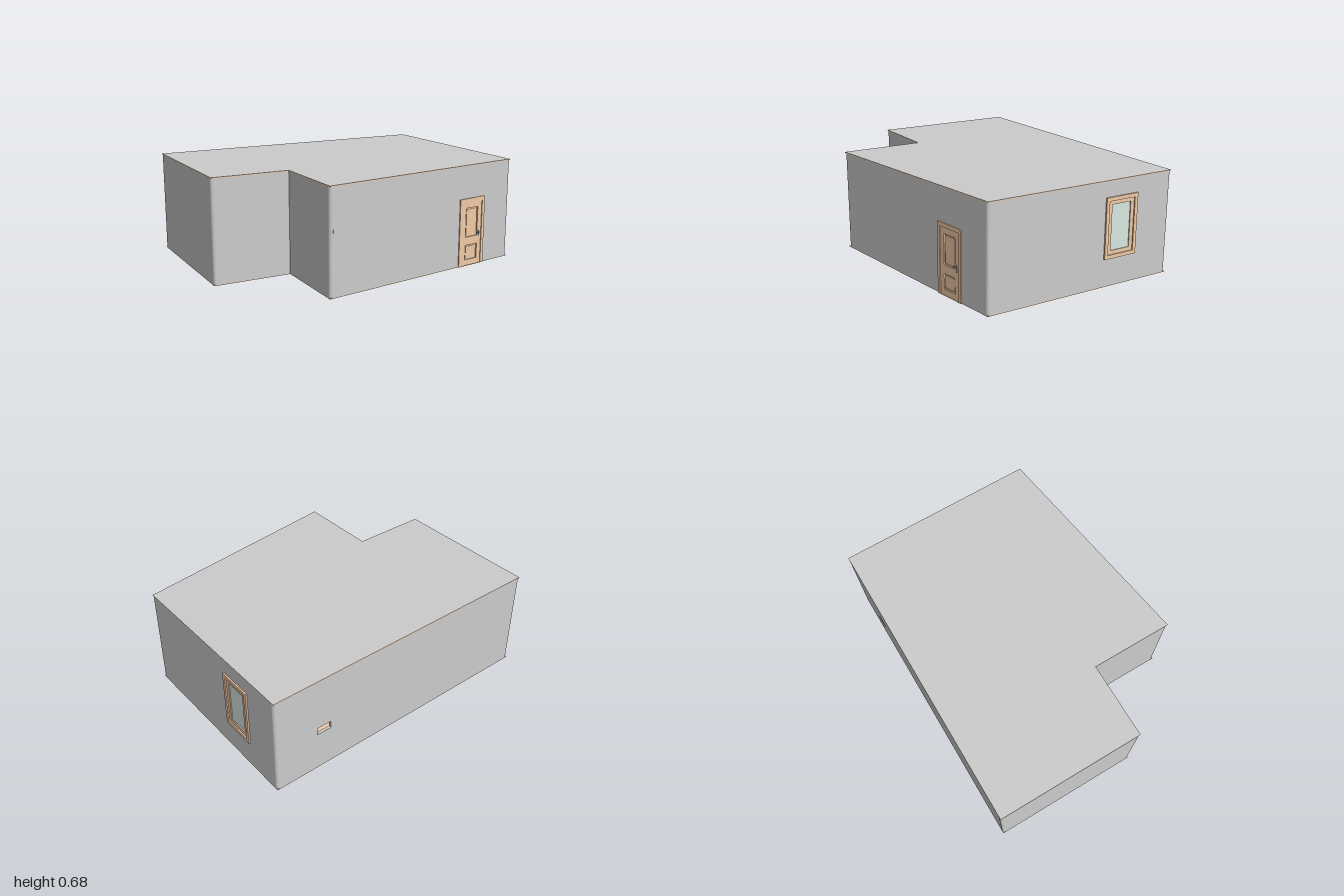
import * as THREE from 'three';

const mat = (color, side = THREE.FrontSide) => new THREE.MeshStandardMaterial({ color, side });
const grey = mat(0xcccccc), tan = mat(0xf0caa6), glass = mat(0xd8e8e0, THREE.DoubleSide), metal = mat(0x8a94a0);

const T = 0.02; // wall thickness and corner radius
const H = 0.675; // overall height
const S = 0.006; // slab thickness

// Room outline (x, z), ordered so that each wall's local +z points indoors
const outline = [[-1, -0.775], [0.99, -0.775], [0.99, 0.55], [-0.49, 0.77], [-0.49, 0.22], [-1, 0.22]]
  .map(([x, z]) => new THREE.Vector2(x, z));
const names = ['backWall', 'leftWall', 'frontWall', 'recessSideWall', 'recessFrontWall', 'rightWall'];

// Openings per wall: [u0, v0, u1, v1] along the wall and up
const openings = {
  backWall: [1.59, 0.27, 1.69, 0.32],
  leftWall: [0.285, 0.205, 0.485, 0.55],
  frontWall: [0.258, 0.004, 0.434, 0.43],
};

function rectPoints(x0, y0, x1, y1) {
  return [[x0, y0], [x1, y0], [x1, y1], [x0, y1]].map(([x, y]) => new THREE.Vector2(x, y));
}

// Flat rectangular panel with rectangular holes, extruded along +z
function panel(name, rect, holes, depth, material) {
  const shape = new THREE.Shape(rectPoints(...rect));
  for (const h of holes) shape.holes.push(new THREE.Path(rectPoints(...h)));
  const mesh = new THREE.Mesh(new THREE.ExtrudeGeometry(shape, { depth, bevelEnabled: false }), material);
  mesh.name = name;
  return mesh;
}

function add(parent, name, geometry, material, x = 0, y = 0, z = 0) {
  const mesh = new THREE.Mesh(geometry, material);
  mesh.name = name;
  mesh.position.set(x, y, z);
  parent.add(mesh);
  return mesh;
}

// Horizontal slab with the room outline
function slab(name, y, capMaterial) {
  const shape = new THREE.Shape(outline.map((p) => new THREE.Vector2(p.x, -p.y)));
  const geometry = new THREE.ExtrudeGeometry(shape, { depth: S, bevelEnabled: false }).rotateX(-Math.PI / 2);
  const mesh = new THREE.Mesh(geometry, [capMaterial, tan]);
  mesh.name = name;
  mesh.position.y = y;
  return mesh;
}

function buildWalls() {
  const walls = new THREE.Group();
  walls.name = 'walls';
  const n = outline.length;
  const dir = outline.map((p, i) => outline[(i + 1) % n].clone().sub(p).normalize());
  // Length each wall gives up to the rounded corner at its start
  const trim = dir.map((d, i) => {
    const before = dir[(i + n - 1) % n];
    return T * Math.tan(Math.atan2(before.cross(d), before.dot(d)) / 2);
  });
  const bottom = S * 0.5, top = H - S;
  outline.forEach((p, i) => {
    const d = dir[i];
    const length = p.distanceTo(outline[(i + 1) % n]);
    const hole = openings[names[i]];
    const wall = panel(names[i], [trim[i], bottom, length - trim[(i + 1) % n], top], hole ? [hole] : [], T, grey);
    wall.position.set(p.x, 0, p.y);
    wall.rotation.y = -Math.atan2(d.y, d.x);
    walls.add(wall);
    // Rounded post at outward corners
    if (trim[i] > 0) {
      add(walls, 'roundedCorner', new THREE.CylinderGeometry(T, T, top - bottom, 32), grey,
        p.x + d.x * trim[i] - d.y * T, (top + bottom) / 2, p.y + d.y * trim[i] + d.x * T);
    }
  });
  return walls;
}

function buildDoor() {
  const door = new THREE.Group();
  door.name = 'door';
  // Casing around three sides
  const casing = panel('doorCasing', [-0.111, 0, 0.111, 0.455], [[-0.088, 0.001, 0.088, 0.43]], 0.007, tan);
  door.add(casing);
  // Leaf with two recessed panels
  const leaf = panel('doorLeaf', [-0.09, 0.002, 0.088, 0.432],
    [[-0.053, 0.195, 0.053, 0.39], [-0.053, 0.04, 0.053, 0.14]], 0.012, tan);
  leaf.position.z = -0.01;
  door.add(leaf);
  add(door, 'doorBacking', new THREE.BoxGeometry(0.178, 0.43, 0.009), tan, 0, 0.217, -0.0115);
  for (const [y, h] of [[0.2925, 0.175], [0.09, 0.08]]) {
    add(door, 'raisedPanel', new THREE.BoxGeometry(0.09, h, 0.006), tan, 0, y, -0.005);
  }
  // Lever handle
  add(door, 'handlePlate', new THREE.BoxGeometry(0.008, 0.045, 0.003), metal, 0.068, 0.205, 0.0035);
  add(door, 'handleStem', new THREE.CylinderGeometry(0.003, 0.003, 0.01, 12).rotateX(Math.PI / 2), metal, 0.068, 0.215, 0.006);
  add(door, 'handleLever', new THREE.BoxGeometry(0.03, 0.006, 0.004), metal, 0.056, 0.215, 0.01);
  // Stand the door on the slanted front wall
  const x = 0.6475, slope = 0.22 / 1.48;
  door.position.set(x, 0, 0.55 + slope * (0.99 - x));
  door.rotation.y = Math.atan(slope);
  return door;
}

function buildWindow() {
  const win = new THREE.Group();
  win.name = 'window';
  win.add(panel('windowCasing', [-0.12, -0.195, 0.12, 0.195], [[-0.097, -0.171, 0.097, 0.171]], 0.01, tan));
  const sash = panel('windowSash', [-0.1, -0.173, 0.1, 0.173], [[-0.071, -0.146, 0.071, 0.146]], 0.016, tan);
  sash.position.z = -0.014;
  win.add(sash);
  add(win, 'windowPane', new THREE.BoxGeometry(0.144, 0.294, 0.004), glass, 0, 0, -0.006);
  win.position.set(0.99, 0.376, -0.39);
  win.rotation.y = Math.PI / 2;
  return win;
}

export function createModel() {
  const room = new THREE.Group();
  room.name = 'room';
  room.add(slab('floor', 0, tan), slab('roof', H - S, grey), buildWalls(), buildDoor(), buildWindow());
  return room;
}
